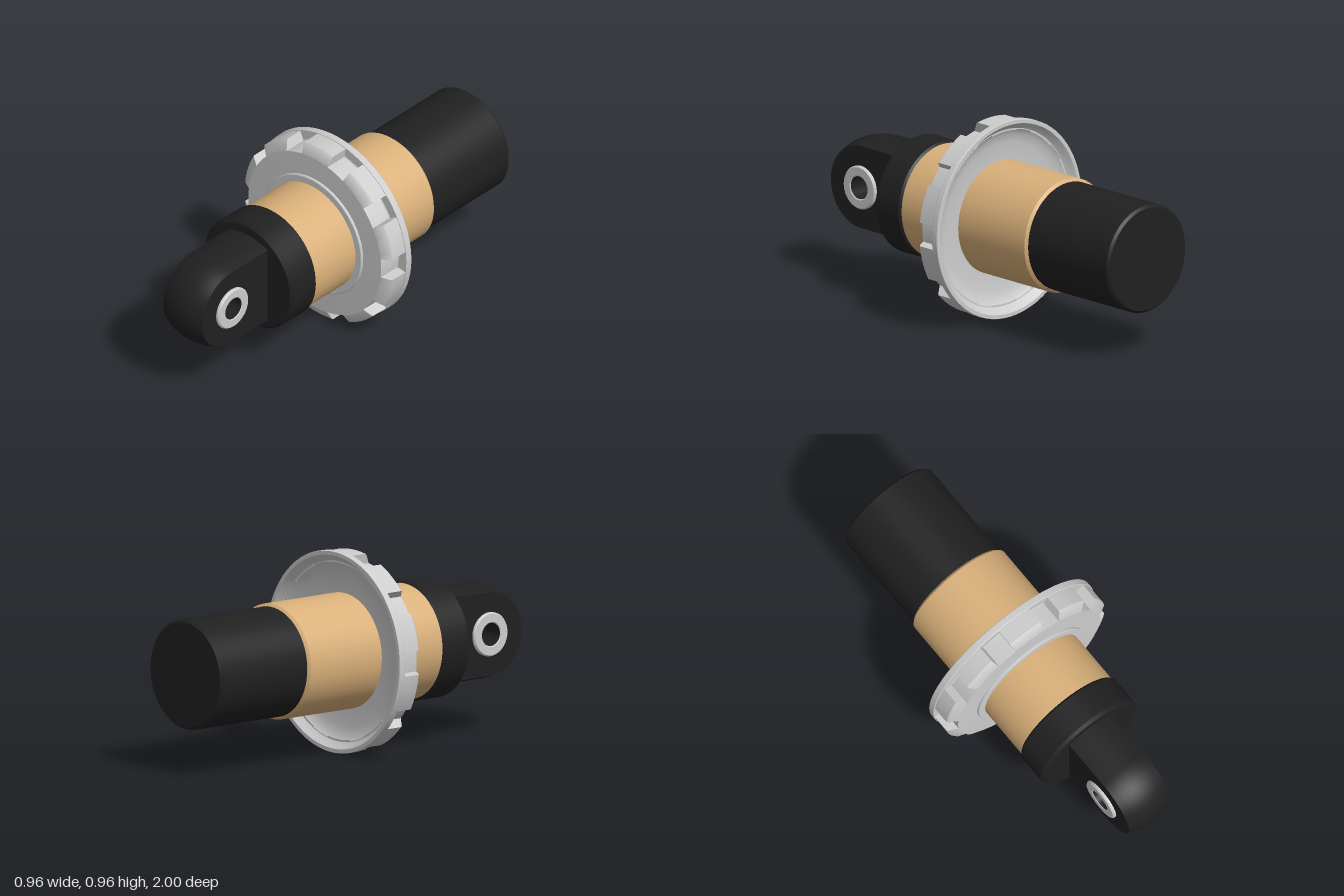
import * as THREE from 'three';
import { mergeGeometries, toCreasedNormals } from 'three/addons/utils/BufferGeometryUtils.js';

const AXIS_Y = 0.482;
const black = new THREE.MeshStandardMaterial({ name: 'black', color: 0x202020, side: THREE.DoubleSide });
const gold = new THREE.MeshStandardMaterial({ name: 'gold', color: 0xd9b07a });
const silver = new THREE.MeshStandardMaterial({ name: 'silver', color: 0xcccccc, side: THREE.DoubleSide });

const vectors = (pts) => pts.map(([r, a]) => new THREE.Vector2(r, a));

// Turned solid: profile of [radius, axial position], spun around the local y axis
function turned(pts, segments = 64, start = 0, length = Math.PI * 2) {
  return toCreasedNormals(new THREE.LatheGeometry(vectors(pts), segments, start, length), 0.55);
}

// Closed cylinder from back to front with chamfered rims
function barrel(radius, back, front, bevelBack, bevelFront) {
  return turned([
    [0, back], [radius - bevelBack, back], [radius, back + bevelBack],
    [radius, front - bevelFront], [radius - bevelFront, front], [0, front],
  ]).rotateX(Math.PI / 2);
}

// Blocks between the ten notches on the adjuster ring
function ringTeeth() {
  const profile = [[0.42, -0.05], [0.475, -0.05], [0.475, 0.037], [0.468, 0.045], [0.425, 0.066], [0.42, 0.066]];
  const half = THREE.MathUtils.degToRad(11);
  const pieces = [];
  for (let i = 0; i < 10; i++) {
    const mid = (i * Math.PI) / 5;
    pieces.push(turned(profile, 6, mid - half, half * 2));
    for (const phi of [mid - half, mid + half]) {
      const cap = new THREE.ShapeGeometry(new THREE.Shape(vectors(profile)));
      pieces.push(cap.rotateY(phi - Math.PI / 2).toNonIndexed());
    }
  }
  return mergeGeometries(pieces).rotateX(Math.PI / 2);
}

// Rounded mounting eye with a cross bore and a slightly crowned outer surface
function eyeGeometry() {
  const R = 0.226, zc = 0.774, zBack = 0.5, width = 0.25;
  const shape = new THREE.Shape();
  shape.moveTo(zBack, -R);
  shape.lineTo(zc, -R);
  shape.absarc(zc, 0, R, -Math.PI / 2, Math.PI / 2, false);
  shape.lineTo(zBack, R);
  shape.closePath();
  const bore = new THREE.Path();
  bore.absarc(zc, 0, 0.056, 0, Math.PI * 2, true);
  shape.holes.push(bore);
  const geo = new THREE.ExtrudeGeometry(shape, { depth: width, steps: 10, bevelEnabled: false, curveSegments: 24 });
  geo.translate(0, 0, -width / 2);
  const p = geo.attributes.position;
  for (let i = 0; i < p.count; i++) {
    const z = p.getX(i), y = p.getY(i), x = p.getZ(i);
    const spine = Math.min(z, zc);
    if (Math.hypot(z - spine, y) < 0.15) continue;
    const k = 1 - (0.026 * (x / (width / 2)) ** 2) / R;
    p.setXY(i, spine + (z - spine) * k, y * k);
  }
  geo.rotateY(-Math.PI / 2);
  return toCreasedNormals(geo, 0.55);
}

export function createModel() {
  const model = new THREE.Group();
  model.name = 'shockAbsorber';
  const add = (name, geometry, material) => {
    const mesh = new THREE.Mesh(geometry, material);
    mesh.name = name;
    mesh.position.y = AXIS_Y;
    model.add(mesh);
    return mesh;
  };

  // Main tube sections, back to front
  add('rearSleeve', barrel(0.261, -1, -0.46, 0.012, 0.002), black);
  add('body', barrel(0.275, -0.47, 0.36, 0.012, 0.002), gold);
  add('frontCollar', barrel(0.285, 0.353, 0.525, 0.012, 0.015), black);

  // Adjuster ring: dished back, rear flange, front lip
  add('adjusterRing', turned([
    [0.27, -0.02], [0.36, -0.023], [0.40, -0.033], [0.43, -0.05], [0.45, -0.075], [0.46, -0.085],
    [0.478, -0.085], [0.48, -0.082], [0.48, -0.053], [0.478, -0.05], [0.425, -0.05], [0.425, 0.066],
    [0.312, 0.068], [0.312, 0.078], [0.308, 0.081], [0.27, 0.081],
  ], 80).rotateX(Math.PI / 2), silver);
  add('adjusterTeeth', ringTeeth(), silver);

  // Mounting eye, dark bore lining and a washer on each side
  add('mountingEye', eyeGeometry(), black);
  const lining = new THREE.CylinderGeometry(0.055, 0.055, 0.276, 32, 1, true).rotateZ(Math.PI / 2);
  add('boreLining', lining, black).position.z = 0.774;
  for (const side of [1, -1]) {
    const washer = turned([
      [0.056, 0.11], [0.105, 0.11], [0.105, 0.134], [0.099, 0.141], [0.06, 0.141], [0.056, 0.138], [0.056, 0.11],
    ], 40).rotateZ((-side * Math.PI) / 2);
    add(side > 0 ? 'leftWasher' : 'rightWasher', washer, silver).position.z = 0.774;
  }
  return model;
}
